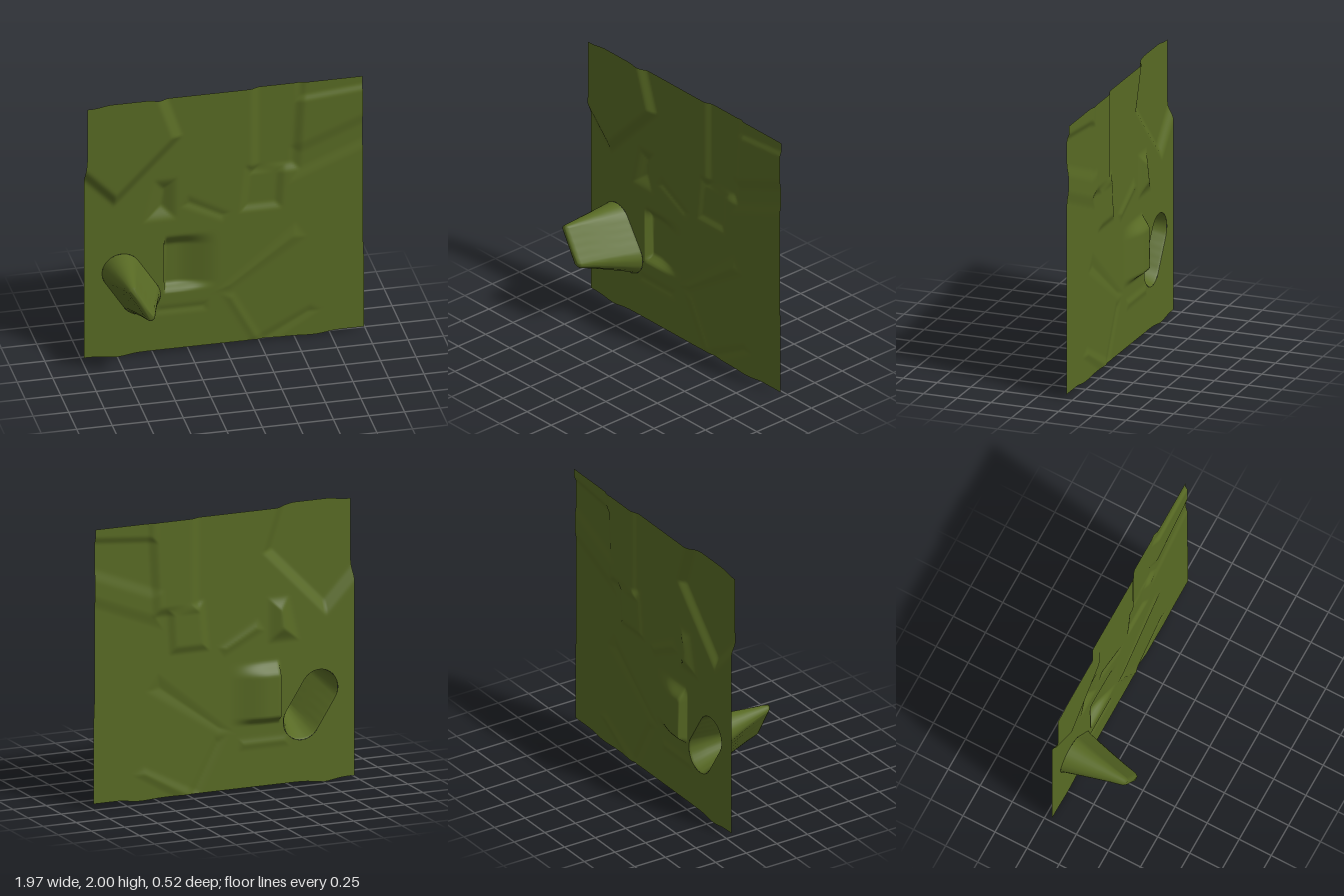
import * as THREE from 'three';

const { smoothstep, lerp } = THREE.MathUtils;
const BASE_Z = -0.2;

// Rounded slot (two centres and a radius) where the horn leaves the sheet
const ROOT = { a: [-0.72, 0.665], b: [-0.585, 0.455], r: 0.138 };
const TIP = { a: [-0.742, 0.755], b: [-0.615, 0.535], r: 0.026 };

// Soft-edged convex plates, corners counter-clockwise: height, edge width, corners
const PLATES = [
  [0.04, 0.09, [[-0.77, 1.17], [-0.28, 1.67], [-0.46, 2.2], [-1.3, 2.2], [-1.3, 1.72]]],
  [-0.045, 0.14, [[-0.58, 1.02], [-0.32, 1.02], [-0.32, 1.36], [-0.5, 1.36]]],
  [-0.026, 0.08, [[0.18, 1.3], [0.55, 1.3], [0.6, 2.2], [0.18, 2.2]]],
  [-0.02, 0.07, [[0.1, 1.02], [0.42, 1.02], [0.44, 1.36], [0.14, 1.4]]],
  [-0.018, 0.06, [[0.5, 1.83], [1.3, 1.9], [1.3, 2.2], [0.5, 2.2]]],
  [0.012, 0.1, [[-0.1, 0.42], [0.05, 0.42], [0.6, 0.78], [0.5, 0.92]]],
  [-0.012, 0.1, [[0.45, 1.2], [1.2, 1.5], [1.2, 1.8], [0.45, 1.5]]],
  [0.01, 0.08, [[-0.04, 0.42], [0.24, -0.1], [0.36, -0.1], [0.08, 0.42]]],
  [-0.01, 0.07, [[0.2, -0.1], [0.7, 0.2], [0.6, 0.26], [0.1, 0.0]]],
  [-0.012, 0.08, [[-0.5, 0.28], [-0.1, 0.28], [-0.1, 0.38], [-0.5, 0.38]]],
  [-0.014, 0.08, [[-0.32, 1.12], [0.0, 0.96], [0.06, 1.04], [-0.26, 1.22]]],
];

function plateHeight(x, y, [height, soft, corners]) {
  let inside = Infinity;
  corners.forEach(([ax, ay], i) => {
    const [bx, by] = corners[(i + 1) % corners.length];
    const dx = bx - ax, dy = by - ay;
    inside = Math.min(inside, (dx * (y - ay) - dy * (x - ax)) / Math.hypot(dx, dy));
  });
  return height * smoothstep(inside, 0, soft);
}

// Relief of the sheet: plates plus a pocket with a steep left wall
function relief(x, y) {
  let z = BASE_Z;
  for (const plate of PLATES) z += plateHeight(x, y, plate);
  const pocket = smoothstep(x, -0.42, -0.406) * (1 - smoothstep(x, -0.33, -0.03))
    * smoothstep(y, 0.46, 0.52) * (1 - smoothstep(y, 0.8, 0.91));
  return z - 0.06 * pocket;
}

// Nearest point of the slot's centre line
function slotCentre(x, y, { a, b }) {
  const dx = b[0] - a[0], dy = b[1] - a[1];
  const t = THREE.MathUtils.clamp(((x - a[0]) * dx + (y - a[1]) * dy) / (dx * dx + dy * dy), 0, 1);
  return [a[0] + t * dx, a[1] + t * dy];
}

function buildGeometry(positions, index) {
  const geometry = new THREE.BufferGeometry();
  geometry.setAttribute('position', new THREE.Float32BufferAttribute(positions, 3));
  geometry.setIndex(index);
  geometry.computeVertexNormals();
  return geometry;
}

// Square sheet with slightly wavy borders and an opening behind the horn
function sheetGeometry() {
  const n = 150, positions = [], inside = [], index = [];
  for (let j = 0; j <= n; j++) {
    for (let i = 0; i <= n; i++) {
      const u = i / n, v = j / n, x0 = lerp(-0.98, 0.98, u), y0 = lerp(0.02, 1.98, v);
      const left = lerp(-0.985, -0.97, smoothstep(y0, 1.4, 1.6));
      const right = lerp(0.985, 0.977, smoothstep(y0, 0.5, 0.8));
      const low = 0.022 - 0.02 * Math.exp(-(((x0 + 0.75) / 0.1) ** 2))
        - 0.008 * Math.exp(-(((x0 - 0.62) / 0.1) ** 2)) + 0.01 * smoothstep(x0, 0.65, 0.8);
      const high = 1.982 + 0.018 * smoothstep(x0, -0.95, -0.8) * (1 - smoothstep(x0, -0.56, -0.43));
      let x = lerp(left, right, u), y = lerp(low, high, v);
      const [cx, cy] = slotCentre(x, y, ROOT);
      const d = Math.hypot(x - cx, y - cy);
      inside.push(d < ROOT.r);
      if (d < ROOT.r) {
        const k = ROOT.r / Math.max(d, 1e-4);
        x = cx + (x - cx) * k;
        y = cy + (y - cy) * k;
      }
      positions.push(x, y, relief(x, y));
    }
  }
  const face = (a, b, c) => { if (!(inside[a] && inside[b] && inside[c])) index.push(a, b, c); };
  for (let j = 0; j < n; j++) {
    for (let i = 0; i < n; i++) {
      const a = j * (n + 1) + i, d = a + n + 1;
      face(a, a + 1, d + 1);
      face(a, d + 1, d);
    }
  }
  return buildGeometry(positions, index);
}

// Outline of a rounded slot, counter-clockwise
function slotRing({ a, b, r }) {
  const along = Math.atan2(a[1] - b[1], a[0] - b[0]), ring = [];
  const arc = 14, side = 8;
  for (const [from, to, turn] of [[a, b, 0], [b, a, Math.PI]]) {
    for (let i = 0; i <= arc; i++) {
      const t = along + turn - Math.PI / 2 + (Math.PI * i) / arc;
      ring.push([from[0] + r * Math.cos(t), from[1] + r * Math.sin(t)]);
    }
    const t = along + turn + Math.PI / 2;
    for (let i = 1; i < side; i++) {
      const s = i / side;
      ring.push([lerp(from[0], to[0], s) + r * Math.cos(t), lerp(from[1], to[1], s) + r * Math.sin(t)]);
    }
  }
  return ring;
}

// Hollow horn: loft from the wide root to the narrow tip, open at the back
function hornGeometry() {
  const root = slotRing(ROOT), tip = slotRing(TIP), n = root.length;
  const levels = [[0, 0], [0.03, 0.07], [0.25, 0.29], [0.5, 0.54], [0.75, 0.78], [0.95, 0.95], [1, 1.08]];
  const positions = [], index = [];
  for (const [h, blend] of levels) {
    for (let i = 0; i < n; i++) {
      const rib = 0.003 * (i % 2) * Math.sin(Math.PI * h);
      const s = blend + rib / 0.1;
      const [rx, ry] = root[i];
      positions.push(lerp(rx, tip[i][0], s), lerp(ry, tip[i][1], s), lerp(relief(rx, ry), 0.26, h));
    }
  }
  for (let k = 0; k < levels.length - 1; k++) {
    for (let i = 0; i < n; i++) {
      const a = k * n + i, b = k * n + ((i + 1) % n);
      index.push(a, b, b + n, a, b + n, a + n);
    }
  }
  // Flat cap on the tip
  const last = (levels.length - 1) * n, centre = positions.length / 3;
  positions.push((TIP.a[0] + TIP.b[0]) / 2, (TIP.a[1] + TIP.b[1]) / 2, 0.26);
  for (let i = 0; i < n; i++) index.push(last + i, last + ((i + 1) % n), centre);
  return buildGeometry(positions, index);
}

export function createModel() {
  const olive = new THREE.MeshStandardMaterial({ color: 0x586a24, side: THREE.DoubleSide });
  olive.name = 'olive green';
  const model = new THREE.Group();
  model.name = 'reliefPanel';
  const add = (name, geometry) => {
    const mesh = new THREE.Mesh(geometry, olive);
    mesh.name = name;
    model.add(mesh);
  };
  add('sheet', sheetGeometry());
  add('hollowHorn', hornGeometry());
  return model;
}
